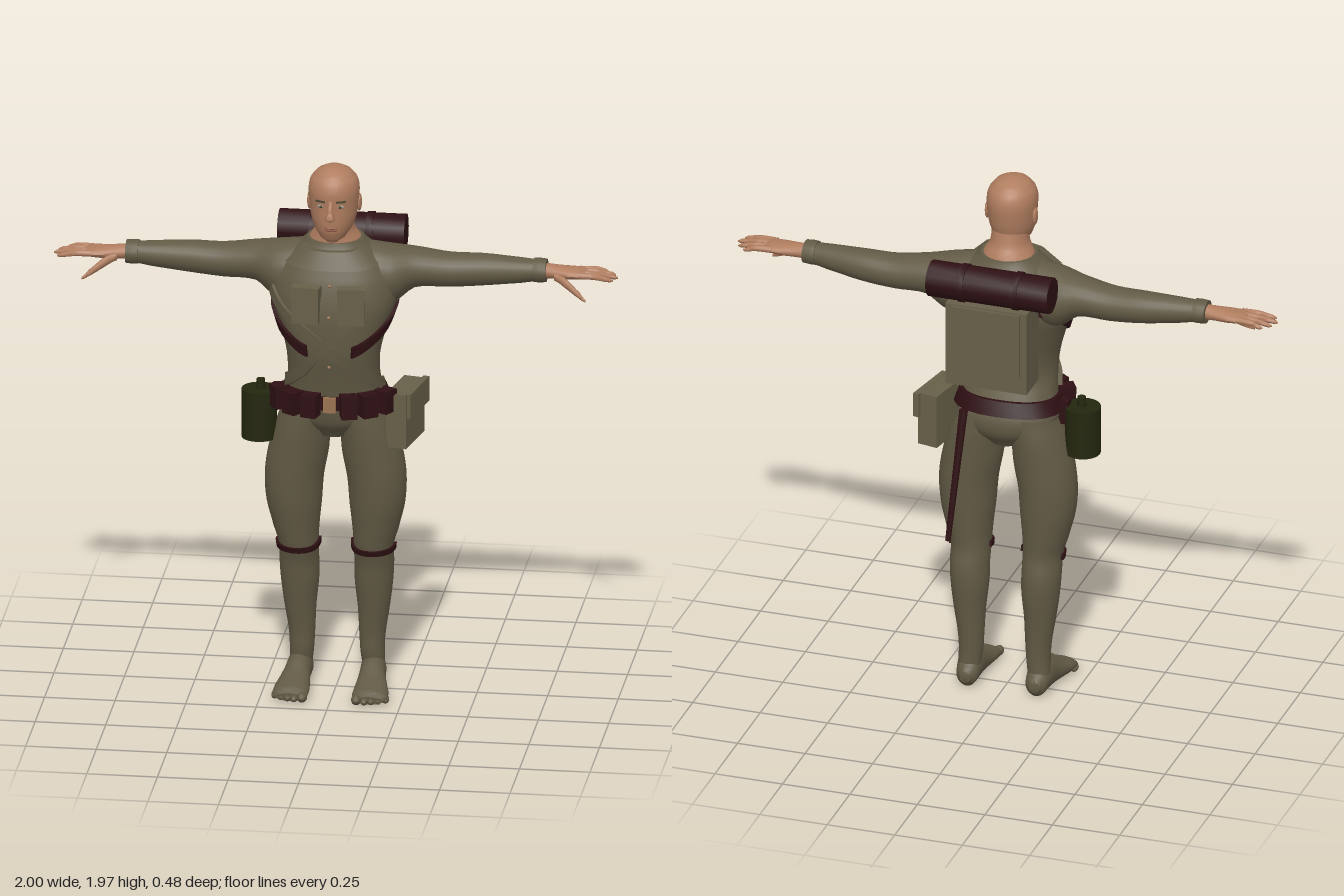
import * as THREE from 'three';
import { toCreasedNormals } from 'three/addons/utils/BufferGeometryUtils.js';

const mat = (name, color) => {
  const m = new THREE.MeshStandardMaterial({ color });
  m.name = name;
  return m;
};

// Signed power, squares off an ellipse when e < 1
const pw = (v, e) => Math.sign(v) * Math.abs(v) ** e;

// Catmull-Rom refinement of section rows; the first column stays linear
function smooth(rows, n = 4) {
  const out = [];
  for (let i = 0; i < rows.length - 1; i++) {
    const p = [rows[Math.max(i - 1, 0)], rows[i], rows[i + 1], rows[Math.min(i + 2, rows.length - 1)]];
    for (let j = 0; j < n; j++) {
      const t = j / n;
      out.push(p[1].map((v, k) => {
        if (k === 0) return v + (p[2][0] - v) * t;
        const [a, b, c, d] = p.map(r => r[k]);
        return b + 0.5 * t * (c - a + t * (2 * a - 5 * b + 4 * c - d + t * (3 * (b - c) + d - a)));
      }));
    }
  }
  out.push(rows[rows.length - 1]);
  return out;
}

// Point on a section [position along axis k, centre, centre, radius, radius]
function ringPoint(k, [a, c1, c2, r1, r2], th, e = 1, off = 0) {
  const p = [];
  p[k] = a;
  p[(k + 2) % 3] = c1 + (r1 + off) * pw(Math.sin(th), e);
  p[(k + 1) % 3] = c2 + (r2 + off) * pw(Math.cos(th), e);
  return p;
}

// Closed skin over rings with equal point counts
function skin(rings) {
  const n = rings[0].length, m = rings.length, pos = rings.flat(2), idx = [];
  for (let i = 0; i < m - 1; i++) for (let j = 0; j < n; j++) {
    const a = i * n + j, b = i * n + (j + 1) % n;
    idx.push(a, b, b + n, a, b + n, a + n);
  }
  for (const r of [rings[0], rings[m - 1]]) {
    for (let k = 0; k < 3; k++) pos.push(r.reduce((s, p) => s + p[k], 0) / n);
  }
  for (let j = 0; j < n; j++) {
    const q = (j + 1) % n, l = (m - 1) * n;
    idx.push(m * n, q, j, m * n + 1, l + j, l + q);
  }
  const g = new THREE.BufferGeometry();
  g.setAttribute('position', new THREE.Float32BufferAttribute(pos, 3));
  g.setIndex(idx);
  return g;
}

function loft(axis, rows, sides = 24, e = 1) {
  const k = 'xyz'.indexOf(axis);
  return skin(smooth(rows).map(s =>
    Array.from({ length: sides }, (_, j) => ringPoint(k, s, j / sides * Math.PI * 2, e))));
}

// Point on an upright body surface at angle th (0 = front) and height y
function surf(rows, e, th, y, off) {
  const i = Math.max(1, rows.findIndex(r => r[0] >= y));
  const a = rows[i - 1], b = rows[i], t = (y - a[0]) / (b[0] - a[0]);
  return ringPoint(1, a.map((v, k) => v + (b[k] - v) * t), th, e, off);
}

// Flat band laid over a body along [angle, height] points
function ribbon(body, e, path, width, off = 0.01) {
  const rows = smooth(body);
  return skin(smooth(path, 10).map(([th, y]) =>
    [[1, -0.01], [1, off], [-1, off], [-1, -0.01]].map(([s, o]) => surf(rows, e, th, y + s * width / 2, o))));
}

const box = (w, h, d, x, y, z, yaw = 0) => new THREE.BoxGeometry(w, h, d).rotateY(yaw).translate(x, y, z);
const blob = (rx, ry, rz, x, y, z) => new THREE.SphereGeometry(1, 14, 10).scale(rx, ry, rz).translate(x, y, z);

export function createModel() {
  const root = new THREE.Group();
  root.name = 'soldier';
  const cloth = mat('olive cloth', 0x625a45), canvas = mat('canvas', 0x676049);
  const leather = mat('dark leather', 0x2e1013), flask = mat('dark green', 0x24270f);
  const flesh = mat('skin', 0xb07d5f), brow = mat('brow', 0x4c4632), lip = mat('lips', 0x955f4b);
  const white = mat('eye white', 0xa0998a), brass = mat('buckle', 0x9a7352);

  // s = -1 mirrors the part to the other side
  const add = (name, geo, material, s = 1) => {
    if (s < 0) {
      geo.scale(-1, 1, 1);
      const ix = geo.index.array;
      for (let i = 0; i < ix.length; i += 3) [ix[i], ix[i + 1]] = [ix[i + 1], ix[i]];
    }
    const mesh = new THREE.Mesh(toCreasedNormals(geo, 0.75), material);
    mesh.name = name;
    root.add(mesh);
    return mesh;
  };
  const both = (name, make, material) => [1, -1].forEach(s => add((s > 0 ? 'left ' : 'right ') + name, make(), material, s));

  // Torso: [y, x, z, half width, half depth]
  const E = 0.9;
  const torso = [
    [0.965, 0, 0.01, 0.06, 0.08], [1.02, 0, 0.01, 0.155, 0.122], [1.08, 0, 0.015, 0.187, 0.135],
    [1.14, 0, 0.032, 0.17, 0.127], [1.22, 0, 0.058, 0.162, 0.118], [1.3, 0, 0.064, 0.168, 0.13],
    [1.4, 0, 0.055, 0.195, 0.145], [1.48, 0, 0.042, 0.22, 0.152], [1.56, 0, 0.03, 0.215, 0.145],
    [1.62, 0, 0.02, 0.185, 0.13], [1.66, 0, 0.015, 0.14, 0.112], [1.695, 0, 0.015, 0.1, 0.095]];
  add('torso', loft('y', torso, 36, E), cloth);
  add('collar flap', ribbon(torso, E, [[-0.95, 1.655], [-0.5, 1.645], [0.5, 1.645], [0.95, 1.655]], 0.06, 0.02), cloth);

  // Legs, feet and toes
  const leg = [
    [0.06, 0.13, -0.04, 0.04, 0.04], [0.13, 0.125, -0.033, 0.043, 0.046], [0.2, 0.125, -0.033, 0.047, 0.05],
    [0.3, 0.13, -0.03, 0.057, 0.062], [0.4, 0.131, -0.027, 0.068, 0.076], [0.47, 0.133, -0.022, 0.07, 0.081],
    [0.54, 0.133, -0.005, 0.071, 0.085], [0.6, 0.14, 0, 0.081, 0.092], [0.7, 0.147, 0.005, 0.098, 0.105],
    [0.8, 0.146, 0.008, 0.105, 0.113], [0.9, 0.13, 0.01, 0.107, 0.118], [1, 0.113, 0.012, 0.096, 0.124],
    [1.09, 0.095, 0.015, 0.085, 0.122]];
  both('leg', () => loft('y', leg), cloth);
  both('knee strap', () => ribbon(leg, 1, [[-1.7, 0.545], [-0.8, 0.53], [0.8, 0.53], [1.7, 0.535]], 0.02, 0.009), leather);
  both('foot', () => loft('z', [
    [-0.095, 0.045, 0.128, 0.022, 0.02], [-0.075, 0.05, 0.128, 0.047, 0.038], [-0.03, 0.062, 0.13, 0.06, 0.045],
    [0.03, 0.055, 0.133, 0.055, 0.047], [0.08, 0.041, 0.137, 0.041, 0.055], [0.13, 0.031, 0.14, 0.031, 0.063],
    [0.17, 0.025, 0.141, 0.024, 0.062], [0.19, 0.02, 0.14, 0.014, 0.05]], 20), cloth);
  for (let i = 0; i < 5; i++) {
    const r = i ? 0.013 : 0.018;
    both('toe', () => blob(r, r, 0.024, 0.096 + i * 0.024 + (i ? 0.004 : 0), r + 0.003, 0.187 - i * i * 0.002), cloth);
  }

  // Sleeves and cuffs: [x, z, y, half depth, half height]
  both('sleeve', () => loft('x', [
    [0.08, 0.01, 1.57, 0.095, 0.11], [0.2, -0.002, 1.556, 0.108, 0.107], [0.28, -0.018, 1.578, 0.083, 0.072],
    [0.4, -0.026, 1.571, 0.068, 0.062], [0.52, -0.028, 1.576, 0.06, 0.057], [0.65, -0.02, 1.582, 0.047, 0.046],
    [0.74, -0.015, 1.587, 0.038, 0.036]]), cloth);
  both('cuff', () => loft('x', [
    [0.7, -0.016, 1.587, 0.047, 0.042], [0.72, -0.015, 1.587, 0.048, 0.043], [0.745, -0.015, 1.587, 0.046, 0.041]], 16), cloth);

  // Hands
  both('palm', () => loft('x', [
    [0.73, -0.014, 1.587, 0.03, 0.027], [0.78, -0.012, 1.586, 0.036, 0.024], [0.83, -0.01, 1.585, 0.045, 0.021],
    [0.875, -0.009, 1.586, 0.046, 0.016], [0.89, -0.009, 1.586, 0.038, 0.01]], 16), flesh);
  const fingers = [[-0.044, -0.056, 0.962], [-0.02, -0.03, 0.988], [0.004, 0.002, 1], [0.027, 0.034, 0.985]];
  for (const [z0, z1, tip] of fingers) {
    both('finger', () => loft('x', [
      [0.86, z0, 1.587, 0.012, 0.012], [0.92, (z0 + z1) / 2, 1.587, 0.0105, 0.011],
      [tip - 0.012, z1, 1.579, 0.008, 0.008], [tip, z1, 1.577, 0.003, 0.003]], 10), flesh);
  }
  both('thumb', () => loft('x', [
    [0.775, 0.01, 1.578, 0.016, 0.018], [0.82, 0.033, 1.557, 0.015, 0.018],
    [0.87, 0.055, 1.524, 0.01, 0.012], [0.893, 0.066, 1.508, 0.004, 0.005]], 10), flesh);

  // Neck and head
  add('neck', loft('y', [
    [1.66, 0, 0.012, 0.11, 0.095], [1.7, 0, 0.015, 0.088, 0.087], [1.735, 0, 0.026, 0.069, 0.077],
    [1.8, 0, 0.036, 0.066, 0.07]]), flesh);
  add('head', loft('y', [
    [1.705, 0, 0.1, 0.02, 0.025], [1.72, 0, 0.085, 0.044, 0.05], [1.75, 0, 0.064, 0.066, 0.083],
    [1.79, 0, 0.056, 0.08, 0.095], [1.84, 0, 0.052, 0.087, 0.1], [1.89, 0, 0.052, 0.09, 0.103],
    [1.925, 0, 0.052, 0.082, 0.092], [1.952, 0, 0.053, 0.06, 0.066], [1.966, 0, 0.054, 0.034, 0.037],
    [1.971, 0, 0.055, 0.004, 0.004]], 28), flesh);
  add('nose', loft('y', [
    [1.795, 0, 0.15, 0.011, 0.012], [1.805, 0, 0.16, 0.018, 0.021], [1.83, 0, 0.156, 0.011, 0.018],
    [1.87, 0, 0.148, 0.008, 0.008]], 12), flesh);
  add('upper lip', blob(0.026, 0.005, 0.008, 0, 1.767, 0.146), lip);
  add('lower lip', blob(0.022, 0.006, 0.008, 0, 1.758, 0.143), lip);
  both('ear', () => blob(0.009, 0.033, 0.02, 0.088, 1.832, 0.04), flesh);
  both('eye', () => blob(0.014, 0.006, 0.006, 0.034, 1.847, 0.143), white);
  both('iris', () => blob(0.005, 0.005, 0.003, 0.034, 1.847, 0.148), brow);
  both('eyebrow', () => box(0.036, 0.006, 0.009, 0.036, 1.866, 0.145, 0.35), brow);

  // Harness and cross straps
  both('harness strap', () => ribbon(torso, E,
    [[0.42, 1.32], [1, 1.37], [1.57, 1.43], [2.2, 1.5], [2.75, 1.545]], 0.042, 0.012), leather);
  add('cross strap', ribbon(torso, E, [[-1.45, 1.53], [-0.6, 1.42], [0.3, 1.28], [1, 1.2], [1.7, 1.155]], 0.05), cloth);
  add('second cross strap', ribbon(torso, E, [[-1.2, 1.18], [-0.5, 1.25], [0, 1.36], [0.35, 1.46]], 0.055, 0.014), cloth);
  for (const y of [1.26, 1.45, 1.56]) {
    const p = surf(smooth(torso), E, 0, y, 0.001);
    add('button', blob(0.006, 0.006, 0.004, ...p), brass);
  }

  // Chest pouches
  both('chest pouch', () => box(0.095, 0.125, 0.04, 0.08, 1.492, 0.197, 0.12), canvas);
  both('chest pouch flap', () => box(0.1, 0.04, 0.046, 0.08, 1.545, 0.199, 0.12), canvas);

  // Belt with cartridge pouches and buckle
  add('belt', ribbon(torso, E, [[-Math.PI, 1.13], [0, 1.115], [Math.PI, 1.13]], 0.05, 0.014), leather);
  add('belt buckle', box(0.045, 0.055, 0.014, 0, 1.115, 0.176), brass);
  for (const th of [0.3, 0.68, 1.15]) {
    const [x, , z] = surf(smooth(torso), E, th, 1.12, 0.026);
    both('cartridge pouch', () => box(0.056, 0.08, 0.052, x, 1.112, z, th * 0.9), leather);
    both('cartridge pouch lid', () => box(0.06, 0.022, 0.058, x, 1.144, z, th * 0.9), leather);
  }

  // Backpack and bedroll
  add('backpack', box(0.3, 0.315, 0.13, 0, 1.428, -0.175), canvas);
  add('backpack flap', box(0.25, 0.24, 0.012, 0, 1.46, -0.244), canvas);
  add('bedroll', new THREE.CylinderGeometry(0.065, 0.065, 0.45, 12).rotateZ(Math.PI / 2).translate(0, 1.645, -0.18), leather);
  both('bedroll strap', () => new THREE.CylinderGeometry(0.069, 0.069, 0.025, 12).rotateZ(Math.PI / 2).translate(0.1, 1.645, -0.18), leather);

  // Side bag on the left hip
  add('side bag', box(0.075, 0.2, 0.2, 0.245, 1.037, 0, -0.2), canvas);
  add('side bag flap', box(0.022, 0.09, 0.205, 0.286, 1.093, -0.005, -0.2), canvas);

  // Canteen on the right hip
  add('canteen', new THREE.CylinderGeometry(0.063, 0.063, 0.18, 20).translate(-0.267, 1.026, 0.035), flask);
  add('canteen cap', new THREE.CylinderGeometry(0.015, 0.017, 0.04, 12).translate(-0.262, 1.132, 0.035), flask);
  add('canteen hanger', box(0.04, 0.09, 0.04, -0.2, 1.09, 0.03), leather);

  // Scabbard behind the left leg
  const top = new THREE.Vector3(0.125, 1.11, -0.115), end = new THREE.Vector3(0.155, 0.63, -0.2);
  const dir = top.clone().sub(end);
  const scabbard = add('scabbard', new THREE.CylinderGeometry(0.016, 0.01, dir.length(), 8), leather);
  scabbard.position.copy(top).add(end).multiplyScalar(0.5);
  scabbard.quaternion.setFromUnitVectors(new THREE.Vector3(0, 1, 0), dir.normalize());
  return root;
}
